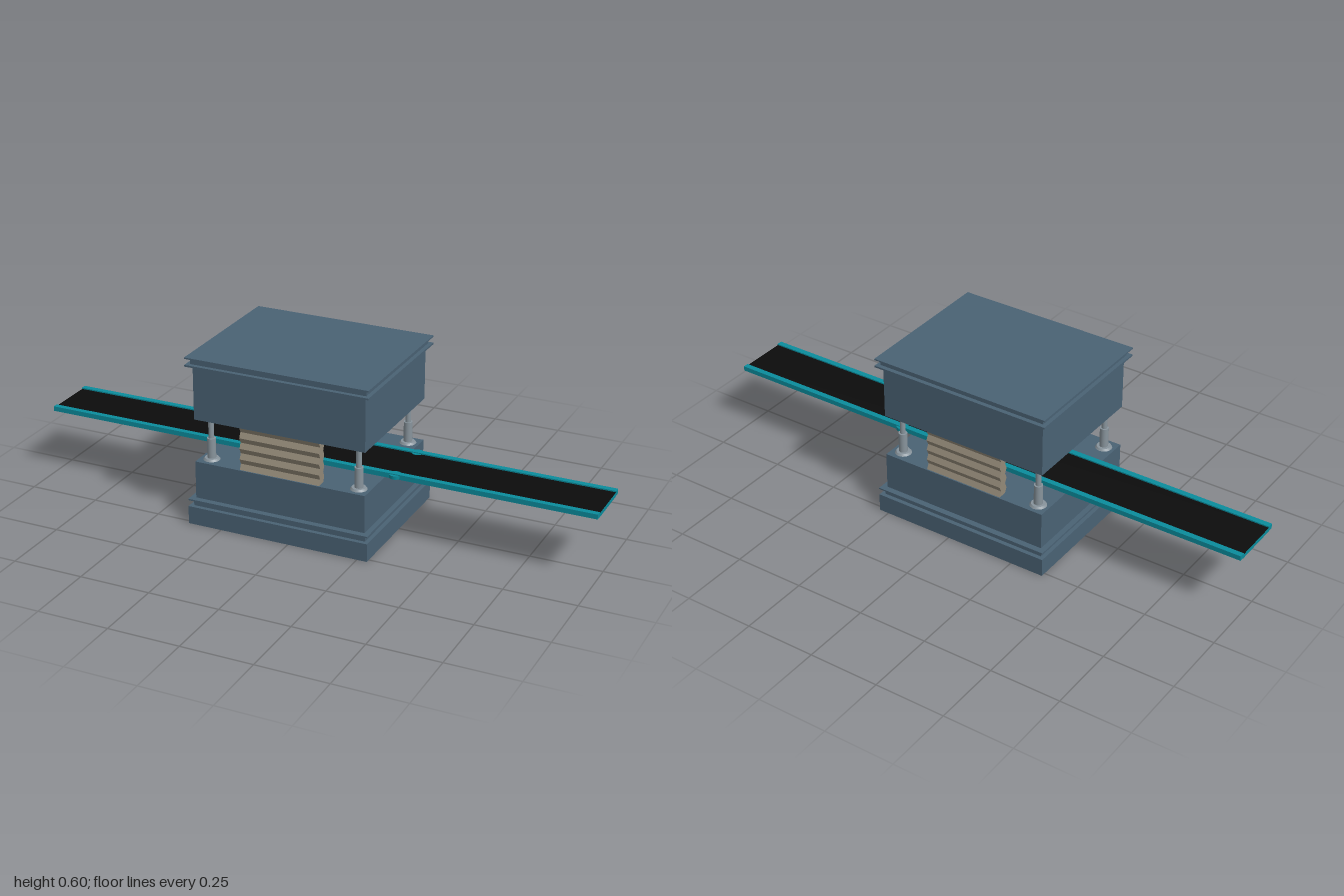
import * as THREE from 'three';

const paint = (color) => new THREE.MeshStandardMaterial({ color });
const steel = paint(0x4a6274);
const chrome = paint(0x88949c);
const cloth = paint(0x938978);
const teal = paint(0x0a8c9c);
const rubber = paint(0x0c0c0c);

const CX = -0.043; // centre of the press along the conveyor
const GAP_LOW = 0.224, GAP_HIGH = 0.377; // opening between the two halves

export function createModel() {
  const model = new THREE.Group();

  const add = (name, geometry, material, x, y, z, parent = model) => {
    const mesh = new THREE.Mesh(geometry, material);
    mesh.name = name;
    mesh.position.set(x, y, z);
    parent.add(mesh);
    return mesh;
  };

  // Box given by its bottom and top heights
  const slab = (name, material, x, z, width, depth, y0, y1) =>
    add(name, new THREE.BoxGeometry(width, y1 - y0, depth), material, x, (y0 + y1) / 2, z);

  // Lower half of the press
  slab('base', steel, CX, 0, 0.658, 0.532, 0, 0.064);
  slab('lowerNeck', steel, CX, 0, 0.63, 0.502, 0.064, 0.086);
  slab('lowerPlate', steel, CX, 0, 0.658, 0.532, 0.086, 0.091);
  slab('lowerBody', steel, CX, 0, 0.62, 0.489, 0.091, GAP_LOW);

  // Upper half of the press
  slab('upperBody', steel, CX, 0, 0.62, 0.489, GAP_HIGH, 0.57);
  slab('upperPlate', steel, CX, 0, 0.658, 0.532, 0.57, 0.576);
  slab('upperNeck', steel, CX, 0, 0.63, 0.502, 0.576, 0.597);
  slab('topPlate', steel, CX, 0, 0.658, 0.532, 0.597, 0.602);

  // Telescopic guide posts with a flange at each end
  for (const sx of [-1, 1]) for (const sz of [-1, 1]) {
    const post = new THREE.Group();
    post.name = 'guidePost';
    post.position.set(CX + sx * 0.27, 0, sz * 0.202);
    model.add(post);
    const round = (name, rTop, rBottom, y0, y1) =>
      add(name, new THREE.CylinderGeometry(rTop, rBottom, y1 - y0, 24), chrome, 0, (y0 + y1) / 2, 0, post);
    round('lowerFlange', 0.024, 0.029, GAP_LOW, 0.231);
    round('sleeve', 0.015, 0.015, 0.231, 0.302);
    round('rod', 0.0095, 0.0095, 0.302, 0.371);
    round('upperFlange', 0.029, 0.024, 0.371, GAP_HIGH);
  }

  // Pleated bellows, front and back
  const folds = 8, height = GAP_HIGH - GAP_LOW;
  const pleats = new THREE.Shape();
  pleats.moveTo(0.208, 0);
  for (let i = 0; i <= folds; i++) pleats.lineTo(i % 2 ? 0.231 : 0.24, (i / folds) * height);
  for (let i = folds; i > 0; i--) pleats.lineTo(i % 2 ? 0.2 : 0.208, (i / folds) * height);
  const bellows = new THREE.ExtrudeGeometry(pleats, { depth: 0.29, bevelEnabled: false });
  bellows.translate(0, 0, -0.145);
  for (const side of [-1, 1])
    add('bellows', bellows, cloth, CX, GAP_LOW, 0).rotation.y = -side * Math.PI / 2;

  // Conveyor running through the opening
  const CZ = -0.006;
  slab('conveyorTray', teal, 0, CZ, 2, 0.17, 0.229, 0.242);
  slab('conveyorBelt', rubber, 0, CZ, 1.998, 0.168, 0.242, 0.2435);
  for (const side of [-1, 1]) {
    slab('conveyorRail', teal, 0, CZ + side * 0.094, 2, 0.02, 0.231, 0.248);
    // Small round sensor on the outside of the rail
    add('railSensor', new THREE.CylinderGeometry(0.021, 0.021, 0.012, 24), teal, 0.306, 0.239, CZ + side * 0.094);
  }

  return model;
}
